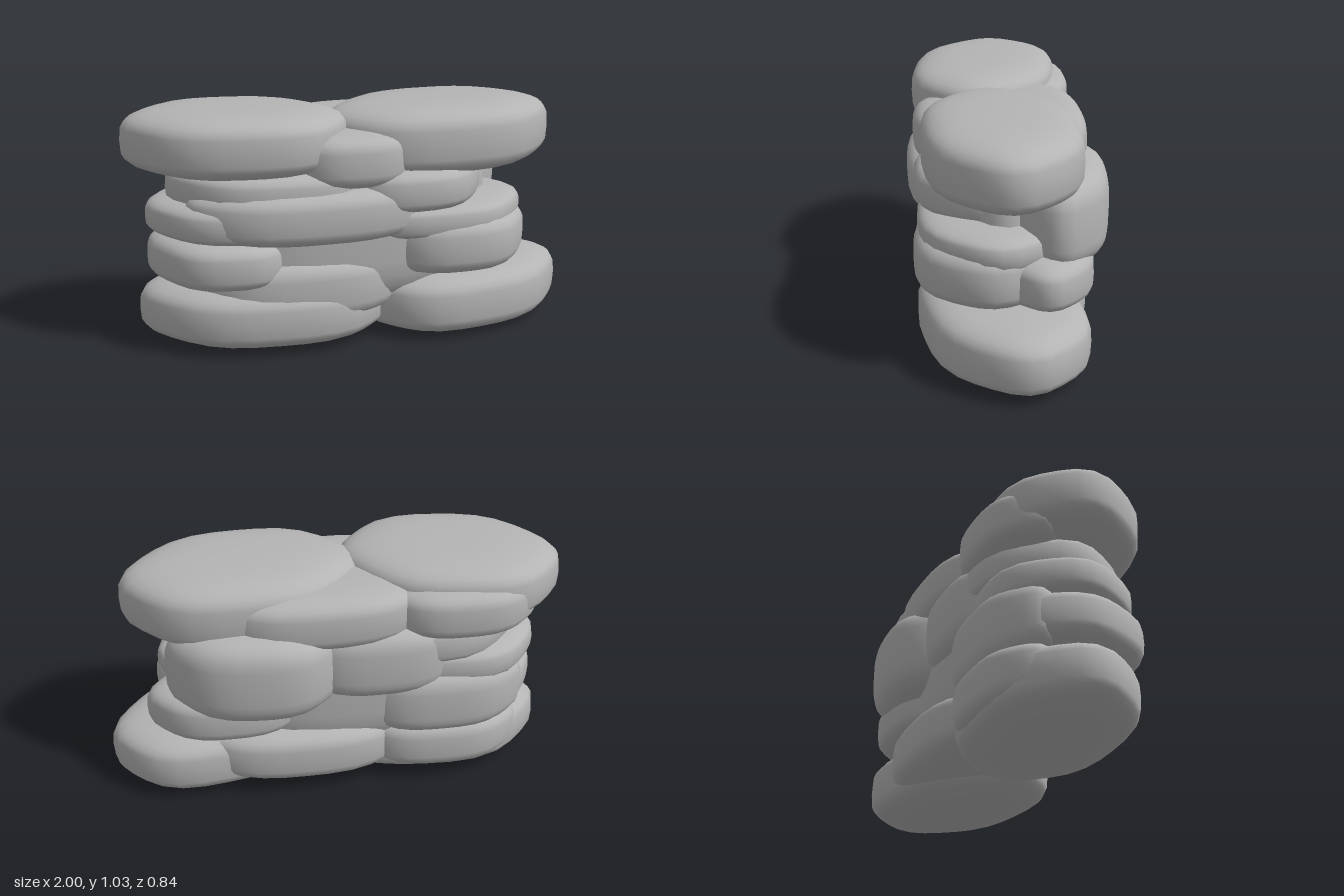
import * as THREE from 'three';
import { mergeVertices } from 'three/addons/utils/BufferGeometryUtils.js';

// A worn, flat stone filling the given ranges; lean swings its +x end towards +z
function stone(x0, x1, y0, y1, z0, z1, lean = 0) {
  let geometry = new THREE.SphereGeometry(1, 28, 18);
  geometry.deleteAttribute('uv');
  geometry.deleteAttribute('normal');
  geometry = mergeVertices(geometry);
  const position = geometry.attributes.position;
  const p = new THREE.Vector3();
  for (let i = 0; i < position.count; i++) {
    p.fromBufferAttribute(position, i);
    const angle = Math.atan2(p.z, p.x);
    // Flatten top and bottom, and make the plan slightly angular
    const radius = Math.hypot(p.x, p.z) ** 0.58 * (0.985 + 0.02 * Math.cos(6 * angle));
    const height = Math.sign(p.y) * Math.abs(p.y) ** 0.52;
    const x = radius * Math.cos(angle);
    const z = radius * Math.sin(angle);
    position.setXYZ(i,
      (x0 + x1) / 2 + x * (x1 - x0) / 2,
      (y0 + y1) / 2 + height * (y1 - y0) / 2,
      (z0 + z1) / 2 + z * (z1 - z0) / 2 + lean * x);
  }
  geometry.computeVertexNormals();
  return geometry;
}

export function createModel() {
  const group = new THREE.Group();
  group.name = 'stackedStones';
  const grey = new THREE.MeshStandardMaterial({ color: 0xb4b4b4 });
  grey.name = 'stoneGrey';

  const add = (name, ...ranges) => {
    const mesh = new THREE.Mesh(stone(...ranges), grey);
    mesh.name = name;
    group.add(mesh);
  };

  // Inner stone that closes the gaps between the courses
  add('coreStone', -0.76, 0.62, 0.14, 0.9, -0.31, 0.34);

  // Bottom course
  add('bottomLeftStone', -0.95, 0.16, 0.01, 0.29, -0.32, 0.39, 0.04);
  add('bottomRightStone', 0.02, 1, 0, 0.29, -0.31, 0.38, -0.08);
  add('bottomBackStone', -0.35, 0.66, 0.05, 0.31, -0.36, 0.1);
  add('bottomBackLeftStone', -0.82, -0.1, 0.06, 0.3, -0.35, 0);
  add('lowerFrontStone', -0.74, 0.2, 0.12, 0.41, -0.1, 0.37, 0.02);

  // Second course
  add('secondLeftStone', -0.91, -0.28, 0.28, 0.51, -0.28, 0.37, 0.04);
  add('secondRightStone', 0.04, 0.78, 0.28, 0.56, -0.25, 0.41);
  add('secondBackRightStone', 0.12, 0.83, 0.29, 0.52, -0.35, 0.08);
  add('secondBackLeftStone', -0.83, -0.08, 0.24, 0.56, -0.35, 0);

  // Third course
  add('thirdLeftStone', -0.91, -0.08, 0.47, 0.66, -0.32, 0.35, 0.03);
  add('thirdFrontStone', -0.76, 0.36, 0.47, 0.72, -0.1, 0.42);
  add('thirdRightStone', -0.12, 0.77, 0.45, 0.62, -0.29, 0.39);
  add('thirdBackRightStone', 0.0, 0.74, 0.42, 0.83, -0.43, 0, 0.03);

  // Fourth course
  add('fourthLeftStone', -0.82, 0.15, 0.58, 0.8, -0.33, 0.37, 0.03);
  add('fourthRightStone', -0.15, 0.57, 0.57, 0.79, -0.28, 0.4);
  add('fourthBackStone', -0.55, 0.2, 0.46, 0.8, -0.36, 0);

  // Top course
  add('topLeftStone', -1, -0.04, 0.755, 1.035, -0.31, 0.38, 0.06);
  add('topRightStone', -0.14, 0.91, 0.72, 1.03, -0.31, 0.37, -0.02);
  add('topBackStone', -0.42, 0.56, 0.72, 0.97, -0.365, 0.1);
  add('topBackLeftStone', -0.86, -0.2, 0.73, 0.96, -0.365, 0);
  add('topFrontStone', -0.34, 0.24, 0.7, 0.94, -0.05, 0.39);
  return group;
}
